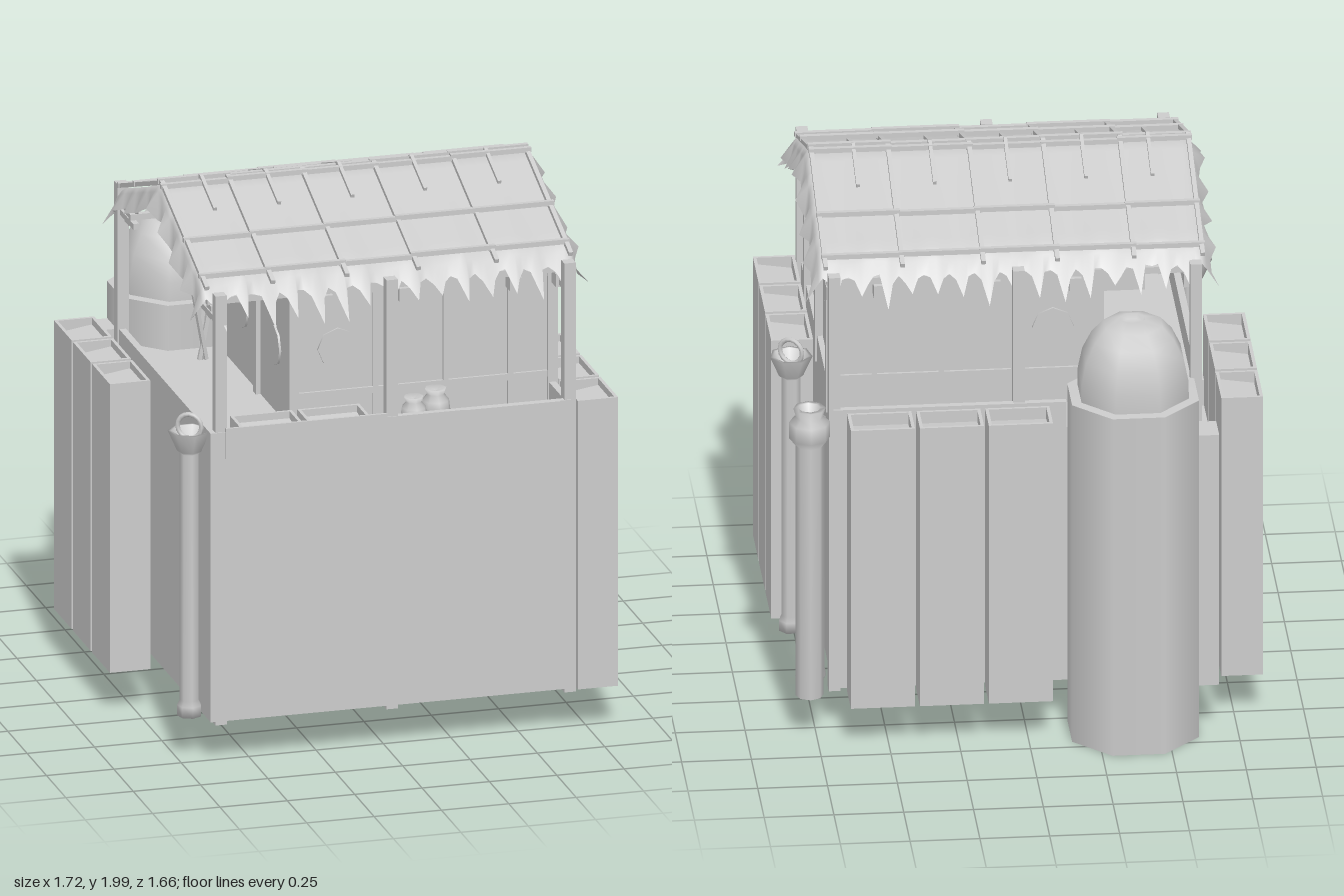
import * as THREE from 'three';

const grey = new THREE.MeshStandardMaterial({ color: 0xcccccc });
const thin = new THREE.MeshStandardMaterial({ color: 0xcccccc, side: THREE.DoubleSide });
const RIDGE_Z = 0.14, SLOPE = 0.355;
const roofY = (z) => 1.965 - SLOPE * Math.abs(z - RIDGE_Z);

// Small repeatable noise, 0..1
const noise = (n) => { const s = Math.sin(n * 127.1 + 3.7) * 43758.5453; return s - Math.floor(s); };

function add(parent, name, geometry, material = grey) {
  const mesh = new THREE.Mesh(geometry, material);
  mesh.name = name;
  parent.add(mesh);
  return mesh;
}

// Box given by its limits on each axis
function box(parent, name, [x0, x1], [y0, y1], [z0, z1]) {
  const m = add(parent, name, new THREE.BoxGeometry(x1 - x0, y1 - y0, z1 - z0));
  m.position.set((x0 + x1) / 2, (y0 + y1) / 2, (z0 + z1) / 2);
  return m;
}

// Square bar between two points
function bar(parent, name, a, b, w = 0.018) {
  const p = new THREE.Vector3(...a), q = new THREE.Vector3(...b);
  const m = add(parent, name, new THREE.BoxGeometry(w, w, p.distanceTo(q)));
  m.position.copy(p).lerp(q, 0.5);
  m.lookAt(q);
  return m;
}

function lathe(parent, name, profile, sides, x, z) {
  const m = add(parent, name, new THREE.LatheGeometry(profile.map((p) => new THREE.Vector2(...p)), sides), thin);
  m.position.set(x, 0, z);
  return m;
}

// Tall hollow planter with a recessed, tilted filling
function planter(parent, x, z, w, d, y0 = 0.16) {
  const g = new THREE.Group();
  g.name = 'planter';
  const rect = (s, hw, hd) => s.moveTo(-hw, -hd).lineTo(hw, -hd).lineTo(hw, hd).lineTo(-hw, hd).closePath();
  const shape = rect(new THREE.Shape(), w / 2, d / 2);
  shape.holes.push(rect(new THREE.Path(), w / 2 - 0.012, d / 2 - 0.012));
  const h = 1.25 - y0;
  const frame = new THREE.ExtrudeGeometry(shape, { depth: h, bevelEnabled: false }).rotateX(-Math.PI / 2);
  add(g, 'planterWalls', frame).position.y = y0;
  const soil = add(g, 'planterSoil', new THREE.PlaneGeometry(w - 0.02, d - 0.02).rotateX(-Math.PI / 2), thin);
  soil.position.y = 1.215;
  soil.rotation.set(w > d ? 0.15 : 0, 0, w > d ? 0 : 0.15);
  g.position.set(x, 0, z);
  parent.add(g);
}

// Draped roof cloth: straight slopes, jagged eaves and drooping gable flaps
function roofCloth() {
  const cols = 60, rows = 12, xL = -0.645, xR = 0.715, pos = [], idx = [];
  for (let i = -2; i <= cols + 2; i++) {
    const k = Math.min(Math.max(i, 0), cols), flap = Math.abs(i - k);
    const side = Math.sign(i - k);
    for (let j = -rows; j <= rows; j++) {
      const t = Math.abs(j) / rows, sgn = Math.sign(j);
      // alternate short and long columns for the ragged eave
      const tip = k % 4 === 2 ? 0.5 + 0.5 * noise(k + sgn * 9) : k % 2 ? 0.3 * noise(k + sgn) : 0.05;
      const d = t < 1 ? t * 0.58 : 0.56 + (sgn > 0 ? 0.13 : 0.115) * tip;
      const sag = t < 1 ? 0.008 * Math.sin(k * 0.7) * t + (t > 0.9 ? 0.012 : 0) : 0.035 + 0.06 * tip;
      const wave = flap === 2 ? 0.025 + 0.035 * (j % 3 === 0 ? 1 : noise(j + side * 5) * 0.4) : flap * 0.015;
      const x = xL + (xR - xL) * k / cols + side * wave;
      const drop = flap === 1 ? 0.02 : flap === 2 ? 0.07 + 0.03 * noise(j * 3 + side) : 0;
      pos.push(x, roofY(RIDGE_Z + d) - sag - drop, RIDGE_Z + sgn * d);
    }
  }
  const n = 2 * rows + 1;
  for (let i = 0; i < cols + 4; i++) for (let j = 0; j < n - 1; j++) {
    const a = i * n + j, b = a + n;
    idx.push(a, a + 1, b, a + 1, b + 1, b);
  }
  const g = new THREE.BufferGeometry();
  g.setAttribute('position', new THREE.Float32BufferAttribute(pos, 3));
  g.setIndex(idx);
  g.computeVertexNormals();
  return g;
}

// Pole with a flared holder and a ring handle
function torchPole(parent, x, z, turn) {
  const g = new THREE.Group();
  g.name = 'torchPole';
  lathe(g, 'pole', [[0, 0.16], [0.045, 0.16], [0.045, 0.2], [0.035, 0.22], [0.035, 1.15], [0.045, 1.16], [0.078, 1.235], [0.066, 1.235], [0.04, 1.18], [0, 1.18]], 7, 0, 0);
  const ring = add(g, 'ringHandle', new THREE.TorusGeometry(0.045, 0.009, 6, 16));
  ring.position.y = 1.25;
  ring.rotation.y = turn;
  g.position.set(x, 0, z);
  parent.add(g);
}

export function createModel() {
  const model = new THREE.Group();
  model.name = 'hut';

  // Solid base and the parapet round its deck
  box(model, 'base', [-0.655, 0.685], [0.16, 1.15], [-0.52, 0.8]);
  box(model, 'frontParapet', [-0.655, 0.685], [1.15, 1.25], [0.775, 0.8]);
  box(model, 'backParapet', [-0.15, 0.685], [1.15, 1.25], [-0.52, -0.495]);
  box(model, 'leftParapet', [0.66, 0.685], [1.15, 1.25], [-0.495, 0.775]);
  box(model, 'rightParapet', [-0.655, -0.63], [1.15, 1.25], [-0.38, 0.775]);
  box(model, 'frontBoard', [-0.6, 0.0], [1.15, 1.265], [0.795, 0.805]);
  box(model, 'frontBoard', [0.29, 0.64], [1.15, 1.25], [0.795, 0.805]);

  // Planters hung on three sides, and a pair on the deck
  for (let i = 0; i < 3; i++) {
    planter(model, -0.777, -0.425 + i * 0.247, 0.15, 0.23);
    planter(model, 0.777, 0.21 + i * 0.247, 0.15, 0.23);
    planter(model, 0.03 + i * 0.247, -0.625, 0.23, 0.15);
  }
  for (const x of [-0.42, -0.17]) planter(model, x, 0.7, 0.23, 0.14, 1.15);

  // House body with gable ends
  const gable = new THREE.Shape();
  gable.moveTo(-0.305, 1.15).lineTo(0.575, 1.15).lineTo(0.575, 1.75).lineTo(RIDGE_Z, 1.915).lineTo(-0.305, 1.75).closePath();
  const body = new THREE.ExtrudeGeometry(gable, { depth: 0.95, bevelEnabled: false }).rotateY(-Math.PI / 2);
  add(model, 'houseWalls', body).position.x = 0.665;
  for (const x of [-0.285, 0.675]) {
    for (const z of [-0.3, RIDGE_Z, 0.575])
      box(model, 'housePost', [x - 0.018, x + 0.018], [1.15, z === RIDGE_Z ? 1.9 : 1.75], [z - 0.018, z + 0.018]);
    box(model, 'gableBeam', [x - 0.014, x + 0.014], [1.63, 1.655], [-0.3, 0.575]);
    box(model, 'gableBracket', [x - 0.04, x + 0.04], [1.66, 1.71], [0.115, 0.16]);
    for (const z of [-0.07, 0.35]) {
      const w = add(model, 'roundWindow', new THREE.CylinderGeometry(0.075, 0.075, 0.012, 8).rotateZ(Math.PI / 2));
      w.position.set(x + (x > 0 ? -0.008 : -0.002), 1.4, z);
    }
  }
  for (const [z, s] of [[0.575, 1], [-0.305, -1]]) {
    for (const x of [0.02, 0.28, 0.52])
      box(model, 'wallStrip', [x - 0.01, x + 0.01], [1.15, 1.75], [z - 0.01, z + 0.01]);
    for (const y of [1.28, 1.66])
      box(model, 'wallRail', [-0.285, 0.67], [y - 0.012, y + 0.012], [z - 0.01, z + 0.01]);
    const w = add(model, 'roundWindow', new THREE.CylinderGeometry(0.075, 0.075, 0.012, 8).rotateX(Math.PI / 2));
    w.position.set(-0.12, 1.45, z + s * 0.003);
  }

  // Porch posts and eave beams
  for (const z of [0.775, -0.49]) {
    for (const x of [-0.615, 0.02, 0.68])
      box(model, 'porchPost', [x - 0.021, x + 0.021], [0.145, 1.765], [z - 0.021, z + 0.021]);
  }
  for (const z of [0.66, -0.4]) {
    box(model, 'eaveBeam', [-0.63, 0.7], [1.69, 1.715], [z - 0.012, z + 0.012]);
    for (const x of [-0.6, -0.19, 0.1, 0.51, 0.68])
      box(model, 'beamBlock', [x - 0.022, x + 0.022], [1.64, 1.69], [z - 0.03, z + 0.03]);
  }
  for (const x of [-0.615, 0.68]) for (const z of [0.775, -0.49])
    bar(model, 'sideBrace', [x, 1.66, z], [x, 1.66, z > 0 ? 0.56 : -0.3], 0.022);
  for (const z of [-0.3, 0.575]) bar(model, 'porchBeam', [-0.64, 1.7, z], [-0.28, 1.7, z], 0.022);

  // Roof cloth and the lattice tied over it
  add(model, 'roofCloth', roofCloth(), thin);
  const rafters = [-0.645, -0.4, -0.125, 0.14, 0.43, 0.705];
  for (const x of rafters) for (const end of [0.72, -0.44])
    bar(model, 'rafter', [x, roofY(RIDGE_Z) + 0.012, RIDGE_Z], [x, roofY(end) + 0.012, end], 0.016);
  for (const x of [-0.5, -0.262, 0.01, 0.28, 0.555]) for (const end of [-0.06, 0.32])
    bar(model, 'ridgeStick', [x, roofY(RIDGE_Z) + 0.022, RIDGE_Z], [x, roofY(end) + 0.022, end], 0.013);
  [-0.39, -0.19, 0.12, 0.16, 0.455, 0.655].forEach((z, r) => {
    for (let i = 0; i < 5; i++) {
      const y = roofY(z) + 0.012 + 0.012 * noise(i + r * 7);
      bar(model, 'purlin', [rafters[i] - 0.012, y, z], [rafters[i + 1] + 0.012, y, z], 0.018);
    }
  });

  // Oven tower with its dome, vent and side box
  const oven = new THREE.Group();
  oven.name = 'oven';
  oven.position.set(-0.38, 0, -0.61);
  const facet = Math.PI / 8;
  lathe(oven, 'ovenTower', [[0.246, 0], [0.246, 1.32]], 8, 0, 0).rotation.y = facet;
  lathe(oven, 'ovenShoulder', [[0.246, 1.32], [0.205, 1.322]], 8, 0, 0).rotation.y = facet;
  lathe(oven, 'ovenDome', [[0.208, 1.32], [0.207, 1.39], [0.19, 1.47], [0.155, 1.54], [0.11, 1.59], [0.045, 1.61], [0.04, 1.59], [0, 1.59]], 8, 0, 0).rotation.y = facet;
  box(oven, 'sideBox', [-0.3, -0.2], [0.2, 1.18], [-0.09, 0.03]);
  model.add(oven);

  // Pipes and torch poles
  lathe(model, 'slimPipe', [[0, 0.16], [0.045, 0.16], [0.055, 0.18], [0.05, 0.21], [0.05, 1.16], [0.055, 1.19], [0.036, 1.21], [0.04, 1.235], [0, 1.235]], 8, 0.76, -0.44);
  lathe(model, 'capPipe', [[0, 0.16], [0.05, 0.16], [0.05, 1.14], [0.074, 1.17], [0.074, 1.23], [0.048, 1.25], [0.058, 1.285], [0.04, 1.285], [0.03, 1.25], [0, 1.25]], 8, 0.775, -0.565);
  torchPole(model, 0.79, 0, -0.6);
  torchPole(model, -0.705, 0.7, -0.6);

  // Pots on the deck and a bundle of sticks by the oven
  for (const [x, z, s] of [[0.13, 0.69, 1], [0.22, 0.66, 1.1]])
    lathe(model, 'pot', [[0, 0], [0.03, 0], [0.05, 0.05], [0.045, 0.09], [0.028, 0.11], [0.036, 0.13], [0, 0.12]].map(([r, y]) => [r * s, 1.15 + y * s]), 8, x, z);
  for (const [dx, dz] of [[-0.04, 0.02], [0.04, 0], [0.02, -0.03]])
    bar(model, 'stick', [-0.38 - dx * 0.3, 1.15, -0.26], [-0.38 + dx, 1.42, -0.26 + dz], 0.014);

  return model;
}
